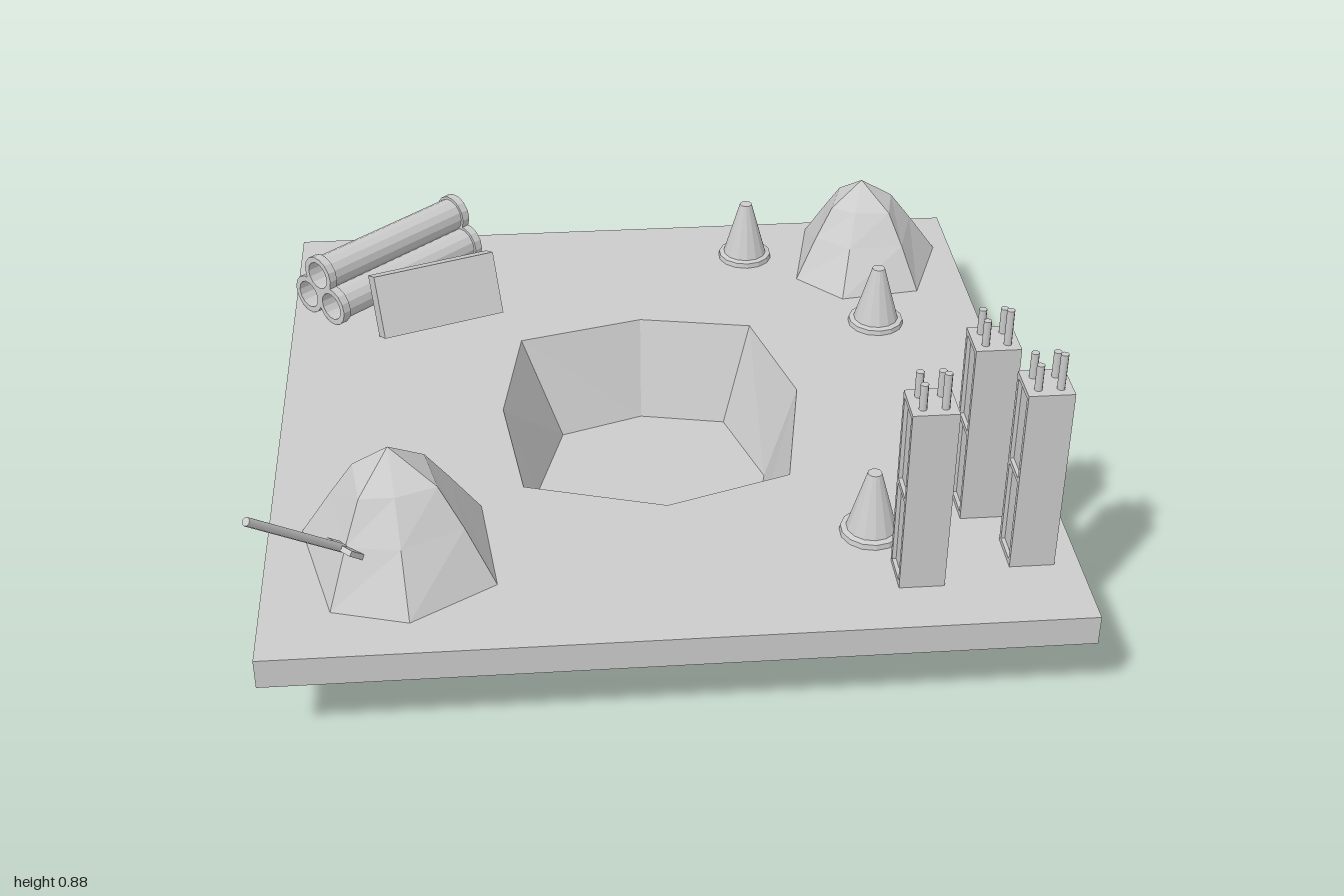
import * as THREE from 'three';

const grey = new THREE.MeshStandardMaterial({ color: 0xcccccc, flatShading: true, side: THREE.DoubleSide });
const smooth = new THREE.MeshStandardMaterial({ color: 0xcccccc, side: THREE.DoubleSide });
const GROUND = 0.28;

function add(parent, name, geometry, x = 0, y = 0, z = 0, material = grey) {
  const mesh = new THREE.Mesh(geometry, material);
  mesh.name = name;
  mesh.position.set(x, y, z);
  parent.add(mesh);
  return mesh;
}

function group(parent, name, x = 0, y = 0, z = 0) {
  const g = new THREE.Group();
  g.name = name;
  g.position.set(x, y, z);
  parent.add(g);
  return g;
}

// Skin between stacked rings of [x, y, z] points, with an optional apex
function loft(rings, apex) {
  const pos = [];
  const n = rings[0].length;
  rings.forEach((ring, r) => {
    for (let i = 0; i < n; i++) {
      const j = (i + 1) % n;
      const next = rings[r + 1];
      if (next) pos.push(...ring[j], ...ring[i], ...next[i], ...ring[j], ...next[i], ...next[j]);
      else if (apex) pos.push(...ring[j], ...ring[i], ...apex);
    }
  });
  const g = new THREE.BufferGeometry();
  g.setAttribute('position', new THREE.Float32BufferAttribute(pos, 3));
  g.computeVertexNormals();
  return g;
}

const flat = (shape) => new THREE.ShapeGeometry(shape).rotateX(-Math.PI / 2);
const outline = (pts) => pts.map(([x, z]) => new THREE.Vector2(x, -z));

// Ground sheet with a hole, a skirt around it, and the pit below
function buildGround(root) {
  const rim = [[-0.34, -0.36], [0.01, -0.45], [0.325, -0.39], [0.415, -0.04],
    [0.34, 0.36], [0.01, 0.47], [-0.355, 0.36], [-0.4, -0.005]];
  const floor = [[-0.23, -0.28], [0.005, -0.36], [0.245, -0.31], [0.33, -0.03],
    [0.26, 0.285], [0.005, 0.375], [-0.24, 0.285], [-0.31, -0.01]];
  const square = [[-1, -1], [1, -1], [1, 1], [-1, 1]];
  const top = new THREE.Shape(outline(square));
  top.holes.push(new THREE.Path(outline(rim)));
  const at = (pts, y) => pts.map(([x, z]) => [x, y, z]);
  add(root, 'groundTop', flat(top), 0, GROUND, 0);
  add(root, 'groundSkirt', loft([at(square, 0.2), at(square, GROUND)]));
  add(root, 'pitWall', loft([at(floor, 0), at(rim, GROUND)]));
  add(root, 'pitFloor', flat(new THREE.Shape(outline(floor))));
}

// Faceted dirt heap: base outline shrinking towards the peak
function buildMound(root, name, base, [px, py, pz]) {
  const h = py - GROUND;
  const ring = (k, y, wobble) => base.map(([x, z], i) => {
    const s = k + (i % 2 ? wobble : -wobble);
    return [px + (x - px) * s, GROUND + h * y, pz + (z - pz) * s];
  });
  add(root, name, loft([ring(1, 0, 0), ring(0.68, 0.45, 0.03), ring(0.43, 0.77, 0.04)], [px, py, pz]));
}

// Traffic cone on a round foot
function buildCone(root, x, z) {
  const profile = [[0.08, 0], [0.078, 0.014], [0.064, 0.018], [0.018, 0.18], [0, 0.18]]
    .map(([r, y]) => new THREE.Vector2(r, y));
  add(root, 'trafficCone', new THREE.LatheGeometry(profile, 14), x, GROUND, z);
}

// Concrete pillar with recessed side panels and reinforcing rods on top
function buildPillar(root, x, z) {
  const w = 0.112, h = 0.5, bar = 0.014, g = group(root, 'pillar', x, GROUND, z);
  add(g, 'pillarCore', new THREE.BoxGeometry(w - 0.02, h, w), 0, h / 2, 0);
  for (const sx of [-1, 1]) {
    const fx = sx * (w / 2 - 0.005);
    for (const sz of [-1, 1])
      add(g, 'panelSide', new THREE.BoxGeometry(0.01, h, bar), fx, h / 2, sz * (w - bar) / 2);
    for (const y of [bar / 2, h / 2, h - bar / 2])
      add(g, 'panelRail', new THREE.BoxGeometry(0.01, bar, w - 2 * bar), fx, y, 0);
    for (const sz of [-1, 1]) {
      const len = sx + sz === 2 ? 0.095 : 0.068;
      add(g, 'rod', new THREE.CylinderGeometry(0.01, 0.01, len, 8), sx * 0.027, h + len / 2, sz * 0.027, smooth);
    }
  }
}

// Three hollow pipes with a collar at each end, stacked in a pyramid
function buildPipes(root) {
  const g = group(root, 'pipeStack', -0.72, 0, -0.72);
  g.rotation.y = 0.73;
  const L = 0.27;
  const profile = [[0.041, -L], [0.058, -L], [0.058, -L + 0.025], [0.05, -L + 0.025],
    [0.05, L - 0.025], [0.058, L - 0.025], [0.058, L], [0.041, L], [0.041, -L]]
    .map(([r, y]) => new THREE.Vector2(r, y));
  for (const [y, z] of [[0.337, -0.052], [0.337, 0.052], [0.42, 0]])
    add(g, 'pipe', new THREE.LatheGeometry(profile, 14).rotateZ(-Math.PI / 2), 0, y, z);
}

// Shovel stuck in the heap, its local y running up the handle
function buildShovel(root) {
  const low = new THREE.Vector3(-0.79, 0.42, 0.77);
  const dir = new THREE.Vector3(-0.98, 0.655, 0.965).sub(low);
  const len = dir.length();
  dir.normalize();
  const side = new THREE.Vector3(0, 1, 0).cross(dir).normalize();
  const g = group(root, 'shovel', low.x, low.y, low.z);
  g.quaternion.setFromRotationMatrix(new THREE.Matrix4().makeBasis(side, dir, side.clone().cross(dir)));
  add(g, 'shovelHandle', new THREE.CylinderGeometry(0.011, 0.011, len, 8), 0, len / 2, 0, smooth);
  add(g, 'shovelBlade', new THREE.BoxGeometry(0.085, 0.11, 0.014), 0, -0.035, 0);
}

export function createModel() {
  const root = new THREE.Group();
  root.name = 'constructionSite';
  buildGround(root);
  buildMound(root, 'frontMound', [[-0.915, 0.505], [-0.71, 0.405], [-0.465, 0.435],
    [-0.43, 0.76], [-0.64, 0.89], [-0.83, 0.835]], [-0.68, 0.59, 0.6]);
  buildMound(root, 'backMound', [[0.57, -0.955], [0.77, -0.95], [0.95, -0.81],
    [0.85, -0.55], [0.62, -0.52], [0.5, -0.65]], [0.705, 0.545, -0.77]);
  for (const [x, z] of [[0.36, -0.805], [0.695, -0.385], [0.51, 0.62]]) buildCone(root, x, z);
  for (const [x, z] of [[0.8, 0.53], [0.88, 0.735], [0.595, 0.795]]) buildPillar(root, x, z);
  buildPipes(root);
  buildShovel(root);

  // Block leaning back against the pipes
  const block = add(root, 'leaningBlock', new THREE.BoxGeometry(0.36, 0.18, 0.065), -0.58, 0.38, -0.475);
  block.rotation.set(-0.4, 0.34, 0, 'YXZ');
  return root;
}
